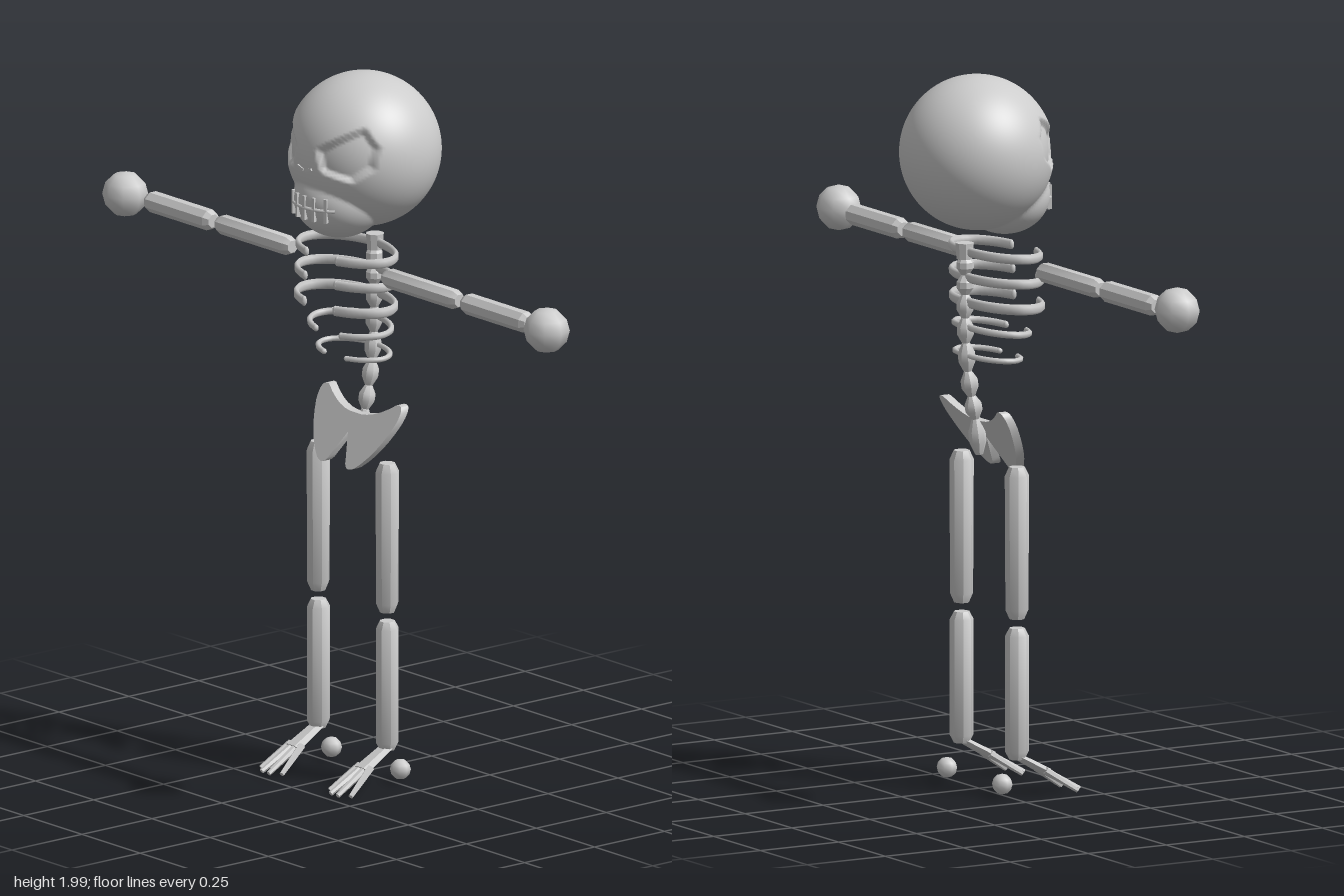
import * as THREE from 'three';
import { mergeVertices, toCreasedNormals } from 'three/addons/utils/BufferGeometryUtils.js';

const V = (x, y, z) => new THREE.Vector3(x, y, z);

export function createModel() {
  const model = new THREE.Group();
  const bone = new THREE.MeshStandardMaterial({ color: 0xcccccc });

  const add = (name, geometry, parent = model) => {
    const mesh = new THREE.Mesh(geometry, bone);
    mesh.name = name;
    parent.add(mesh);
    return mesh;
  };
  const group = (name) => {
    const g = new THREE.Group();
    g.name = name;
    model.add(g);
    return g;
  };
  // Faceted lathe between two points; profile holds [radius, fraction of length]
  const strut = (name, a, b, profile, sides, parent) => {
    const len = a.distanceTo(b);
    const pts = profile.map(([r, t]) => new THREE.Vector2(r, t * len));
    const geo = toCreasedNormals(new THREE.LatheGeometry(pts, sides, Math.PI / sides), 0.5);
    const mesh = add(name, geo, parent);
    mesh.position.copy(a);
    mesh.quaternion.setFromUnitVectors(V(0, 1, 0), b.clone().sub(a).normalize());
    return mesh;
  };
  const limb = (name, a, b, r, endR = r) => strut(name, a, b,
    [[0, 0], [r * 0.65, 0], [r, 0.06], [endR, 0.94], [endR * 0.65, 1], [0, 1]], 8);

  // Skull: a sphere swollen by a jaw ellipsoid, with sunken eye sockets
  const centre = V(0, 1.785, -0.008);
  const skullR = V(0.215, 0.215, 0.213);
  const jawC = V(0, 1.66, 0.08), jawR = V(0.13, 0.11, 0.125);
  const socket = [[0.042, 1.825], [0.058, 1.762], [0.14, 1.74],
    [0.185, 1.78], [0.187, 1.84], [0.148, 1.894]];
  const insideSocket = (x, y) => Math.min(...socket.map(([ax, ay], i) => {
    const [bx, by] = socket[(i + 1) % socket.length];
    return ((bx - ax) * (y - ay) - (by - ay) * (x - ax)) / Math.hypot(bx - ax, by - ay);
  }));
  let skull = new THREE.SphereGeometry(1, 144, 96);
  const pos = skull.attributes.position;
  for (let i = 0; i < pos.count; i++) {
    const d = V().fromBufferAttribute(pos, i).normalize();
    let r = 1 / d.clone().divide(skullR).length();
    // Far crossing of this ray with the jaw ellipsoid
    const o = centre.clone().sub(jawC).divide(jawR), q = d.clone().divide(jawR);
    const a = q.dot(q), h = o.dot(q), disc = h * h - a * (o.dot(o) - 1);
    if (disc > 0) r = Math.max(r, (-h + Math.sqrt(disc)) / a);
    const p = d.clone().multiplyScalar(r).add(centre);
    if (p.z > 0) {
      const inside = insideSocket(Math.abs(p.x), p.y);
      p.addScaledVector(d, -0.016 * THREE.MathUtils.smoothstep(inside, 0, 0.01));
    }
    pos.setXYZ(i, p.x, p.y, p.z);
  }
  skull.deleteAttribute('uv');
  skull.deleteAttribute('normal');
  skull = mergeVertices(skull, 1e-5);
  skull.computeVertexNormals();
  add('skull', skull);

  // Nose and stitched mouth
  for (const s of [-1, 1]) {
    const nostril = add('nostril', new THREE.BoxGeometry(0.026, 0.007, 0.008));
    nostril.position.set(s * 0.017, 1.763, 0.203);
    nostril.rotation.z = s * 0.3;
  }
  const jawFront = (x) => 0.08 + 0.125 * Math.sqrt(1 - (x / 0.13) ** 2);
  const lip = [-0.09, -0.06, -0.03, 0, 0.03, 0.06, 0.09].map((x) => V(x, 1.652, jawFront(x)));
  add('mouthLine', new THREE.TubeGeometry(new THREE.CatmullRomCurve3(lip), 24, 0.005, 6));
  for (const x of [-0.068, -0.034, 0, 0.034, 0.068]) {
    const tooth = add('mouthStitch', new THREE.BoxGeometry(0.009, 0.068, 0.012));
    tooth.position.set(x, 1.652, jawFront(x) - 0.002);
    tooth.rotation.y = x * 6;
  }

  // Spine: a neck block and a chain of spindle-shaped vertebrae
  const spine = group('spine');
  strut('neck', V(0, 1.49, -0.047), V(0, 1.535, -0.047),
    [[0, 0], [0.022, 0], [0.026, 1], [0, 1]], 8, spine);
  const joints = [[1.5, -0.045], [1.445, -0.045], [1.39, -0.045], [1.325, -0.045], [1.255, -0.043],
    [1.175, -0.037], [1.105, -0.025], [1.04, -0.012], [0.94, 0]];
  for (let i = 1; i < joints.length; i++) {
    const [y0, z0] = joints[i - 1], [y1, z1] = joints[i];
    strut('vertebra', V(0, y1, z1), V(0, y0, z0),
      [[0, 0], [0.011, 0], [0.024, 0.35], [0.024, 0.65], [0.011, 1], [0, 1]], 8, spine);
  }

  // Ribs: flattened hoops, open at the breast; [height, half width, front z, droop, half thickness]
  const ribs = group('ribs');
  const ribRows = [[1.507, 0.175, 0.15, 0.01, 0.014], [1.437, 0.175, 0.155, 0.005, 0.014],
    [1.366, 0.175, 0.158, 0.008, 0.015], [1.292, 0.143, 0.125, 0.02, 0.01], [1.217, 0.127, 0.1, 0.01, 0.008]];
  for (const [y, w, front, droop, t] of ribRows) {
    for (const s of [-1, 1]) {
      const mid = (front - 0.045) / 2, depth = (front + 0.045) / 2, pts = [];
      for (let i = 0; i <= 10; i++) {
        const a = (i / 10) * 2.75;
        pts.push(V(s * w * Math.sin(a), -droop * i / 10 / (t / 0.008), mid - depth * Math.cos(a)));
      }
      const geo = new THREE.TubeGeometry(new THREE.CatmullRomCurve3(pts), 24, 0.008, 6);
      geo.scale(1, t / 0.008, 1);
      add('rib', geo, ribs).position.y = y + droop / 2;
      // Rounded tip closes the open end
      const tip = add('ribTip', new THREE.SphereGeometry(0.008, 8, 6), ribs);
      tip.scale.y = t / 0.008;
      tip.position.set(pts[10].x, y - droop / 2, pts[10].z);
    }
  }

  for (const s of [-1, 1]) {
    // Hip wing: a slanted plate
    const wing = new THREE.Shape();
    wing.moveTo(0, 1.035);
    wing.quadraticCurveTo(s * 0.07, 1.03, s * 0.145, 1.082);
    wing.quadraticCurveTo(s * 0.182, 1.09, s * 0.17, 1.035);
    wing.quadraticCurveTo(s * 0.14, 0.95, s * 0.08, 0.905);
    wing.quadraticCurveTo(s * 0.045, 0.885, s * 0.033, 0.92);
    wing.lineTo(0, 0.985);
    const hip = new THREE.ExtrudeGeometry(wing, { depth: 0.026, bevelEnabled: false, curveSegments: 6 });
    const p = hip.attributes.position;
    for (let i = 0; i < p.count; i++) p.setZ(i, p.getZ(i) + 0.015 - 0.55 * (p.getY(i) - 1));
    add('hipWing', toCreasedNormals(hip, 0.5));

    // Arm
    limb('upperArm', V(s * 0.2, 1.475, 0.08), V(s * 0.517, 1.475, 0.08), 0.028);
    limb('forearm', V(s * 0.54, 1.475, 0.08), V(s * 0.818, 1.475, 0.08), 0.03);
    add('hand', new THREE.SphereGeometry(0.064, 8, 6)).position.set(s * 0.905, 1.477, 0.092);

    // Leg
    limb('thigh', V(s * 0.148, 0.5, 0.032), V(s * 0.148, 0.925, 0.032), 0.032, 0.034);
    limb('shin', V(s * 0.148, 0.108, 0.032), V(s * 0.148, 0.475, 0.032), 0.033);
    add('heel', new THREE.SphereGeometry(0.029, 8, 6)).position.set(s * 0.148, 0.043, -0.015);

    // Foot: a flat instep fanning into four toes
    const instep = strut('instep', V(s * 0.148, 0.115, 0.035), V(s * 0.148, 0.065, 0.125),
      [[0, 0], [0.026, 0], [0.033, 1], [0, 1]], 6);
    instep.scale.z = 0.4;
    for (const k of [-1.5, -0.5, 0.5, 1.5]) {
      const spread = Math.abs(k) > 1 ? 0.2 : 0.222;
      strut('toe', V(s * (0.148 + k * 0.015), 0.073, 0.11), V(s * (0.148 + k * 0.03), 0.012, spread),
        [[0, 0], [0.011, 0], [0.009, 0.6], [0.007, 1], [0, 1]], 6);
    }
  }
  return model;
}
